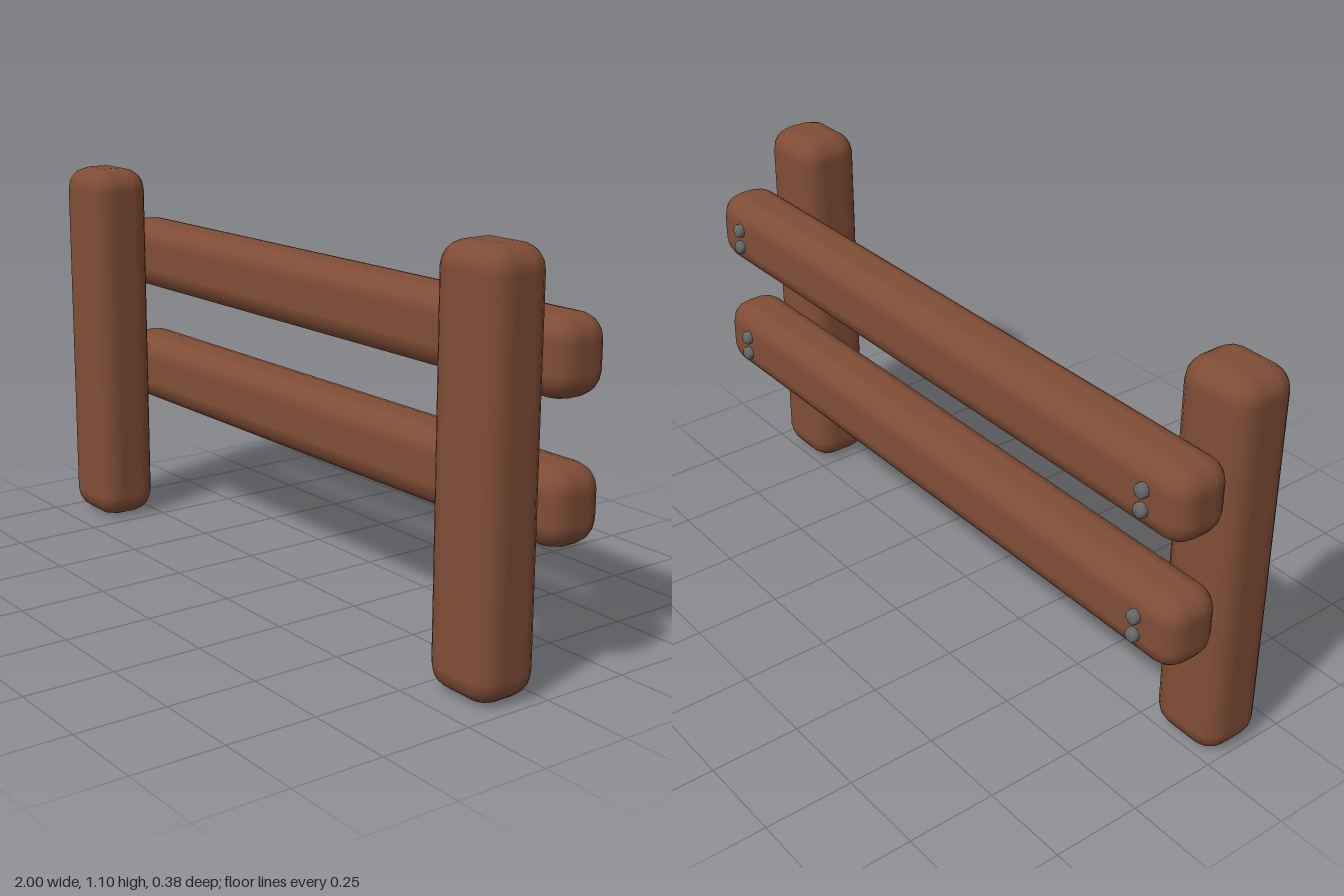
import * as THREE from 'three';
import { RoundedBoxGeometry } from 'three/addons/geometries/RoundedBoxGeometry.js';

export function createModel() {
  const model = new THREE.Group();
  model.name = 'fence';

  const wood = new THREE.MeshStandardMaterial({ color: 0x804d36 });
  wood.name = 'brown wood';
  const metal = new THREE.MeshStandardMaterial({ color: 0x666666 });
  metal.name = 'grey metal';

  const add = (name, geometry, material, x, y, z) => {
    const mesh = new THREE.Mesh(geometry, material);
    mesh.name = name;
    mesh.position.set(x, y, z);
    model.add(mesh);
  };

  // Upright posts with softly rounded edges
  const postGeometry = new RoundedBoxGeometry(0.224, 1.096, 0.192, 2, 0.066);
  add('rightPost', postGeometry, wood, -0.888, 0.548, 0.095);
  add('leftPost', postGeometry, wood, 0.867, 0.548, 0.095);

  // Horizontal rails fixed behind the posts
  const railGeometry = new RoundedBoxGeometry(2, 0.205, 0.175, 2, 0.066);

  // Domed bolt head, its axis turned to point backwards
  const boltProfile = [
    [0.02, -0.015], [0.02, 0.01], [0.018, 0.016], [0.012, 0.02], [0, 0.021],
  ].map(([r, h]) => new THREE.Vector2(r, h));
  const boltGeometry = new THREE.LatheGeometry(boltProfile, 12).rotateX(-Math.PI / 2);

  for (const [label, y] of [['lower', 0.457], ['upper', 0.818]]) {
    add(label + 'Rail', railGeometry, wood, 0, y, -0.084);
    // A pair of bolts at each end of the rail
    for (const x of [-0.877, 0.866]) {
      for (const dy of [-0.028, 0.025]) {
        add(label + 'Bolt', boltGeometry, metal, x, y + dy - 0.007 + 0.007, -0.17);
      }
    }
  }

  return model;
}
